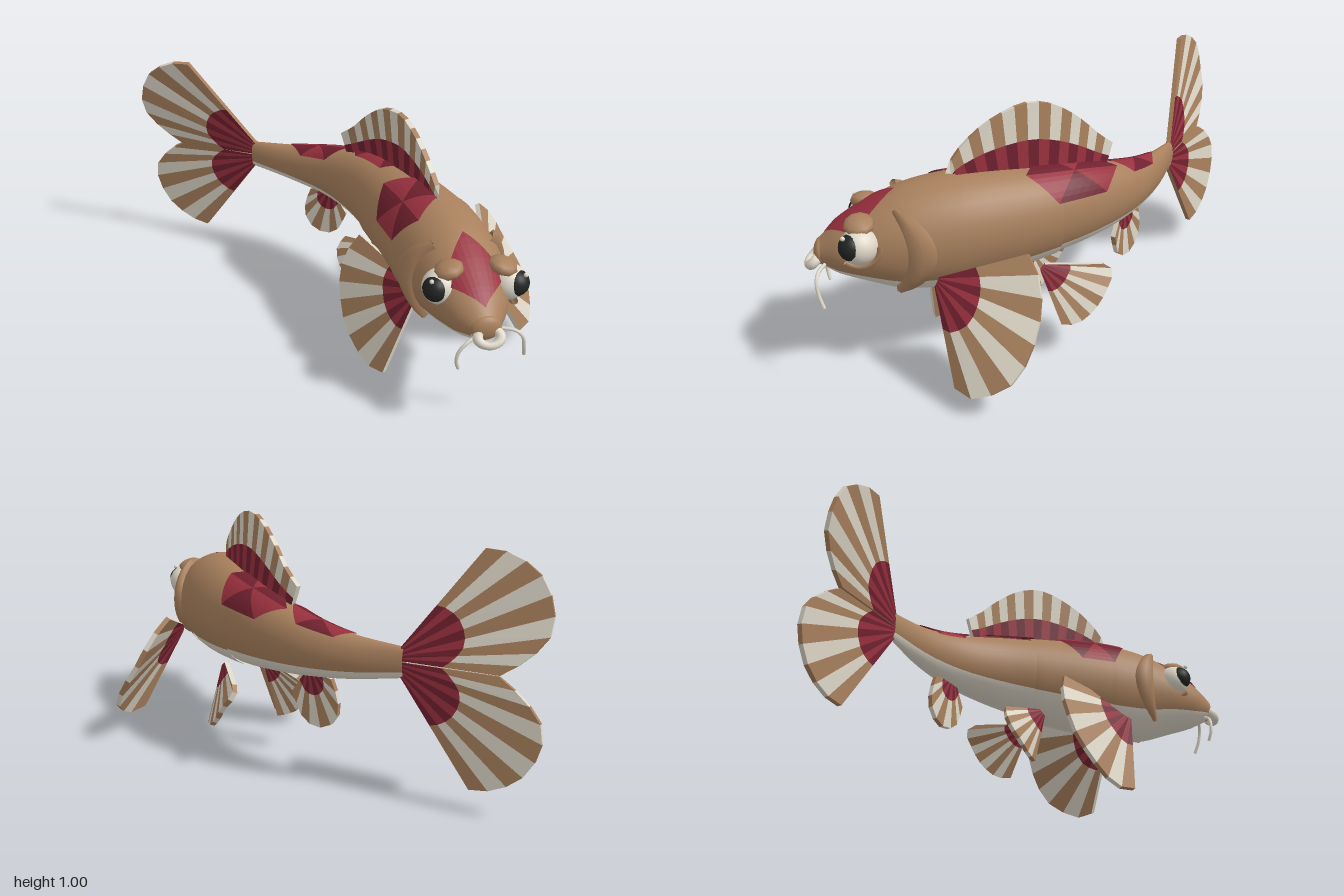
import * as THREE from 'three';

const V = (x, y, z) => new THREE.Vector3(x, y, z);
const mat = (name, color) => {
  const m = new THREE.MeshStandardMaterial({ color, side: THREE.DoubleSide });
  m.name = name;
  return m;
};

export function createModel() {
  const root = new THREE.Group();
  root.name = 'fish';
  const tan = mat('tan', 0xa8805d), white = mat('cream', 0xdfd8c9), red = mat('red', 0x98303e),
    darkRed = mat('darkRed', 0x6f202e), black = mat('black', 0x222323);

  const add = (name, geo, material, parent = root) => {
    const m = new THREE.Mesh(geo, material);
    m.name = name;
    parent.add(m);
    return m;
  };
  const group = (name) => {
    const g = new THREE.Group();
    g.name = name;
    root.add(g);
    return g;
  };

  // Body stations, tail to snout: x, z, half width, top, bottom
  const stations = [
    [-0.47, -0.43, 0.02, 0.6, 0.48], [-0.25, -0.425, 0.055, 0.625, 0.445],
    [-0.05, -0.39, 0.09, 0.67, 0.42], [0.15, -0.3, 0.13, 0.722, 0.39],
    [0.32, -0.175, 0.165, 0.748, 0.36], [0.47, -0.04, 0.185, 0.762, 0.335],
    [0.58, 0.07, 0.19, 0.758, 0.322], [0.68, 0.18, 0.18, 0.732, 0.332],
    [0.755, 0.28, 0.155, 0.675, 0.37], [0.82, 0.37, 0.11, 0.605, 0.405], [0.86, 0.425, 0.06, 0.545, 0.44],
  ];
  const spine = new THREE.CatmullRomCurve3(stations.map(([x, z, , t, b]) => V(x, (t + b) / 2, z)));
  const sizes = new THREE.CatmullRomCurve3(stations.map(([, , w, t, b], i) => V(w, (t - b) / 2, i * 0.1)));

  // Point on the skin: s = station, a = angle from the back towards the left side
  const skin = (s, a, off = 0, k = 1) => {
    const u = Math.min(1, Math.max(0, s / 10));
    const t = spine.getTangent(u).setY(0).normalize(), size = sizes.getPoint(u);
    const side = V(t.z, 0, -t.x).multiplyScalar(Math.sin(a) * (size.x + off) * k);
    const p = spine.getPoint(u).add(side);
    p.y += Math.cos(a) * (size.y + off) * k;
    return p;
  };

  const geometry = (points, index) => {
    const g = new THREE.BufferGeometry().setFromPoints(points);
    if (index) g.setIndex(index);
    g.computeVertexNormals();
    return g;
  };

  // Overlapping shells with a pale belly
  function shell(name, s0, s1, rows, scaleAt) {
    const N = 32, pts = [], parts = [[], []];
    for (let i = 0; i <= rows; i++) {
      const s = s0 + (s1 - s0) * i / rows;
      for (let j = 0; j < N; j++) pts.push(skin(s, j / N * Math.PI * 2, 0, scaleAt(i / rows)));
    }
    for (let i = 0; i < rows; i++) for (let j = 0; j < N; j++) {
      const a = i * N + j, b = i * N + (j + 1) % N;
      parts[j >= 11 && j < 21 ? 1 : 0].push(a, a + N, b, b, a + N, b + N);
    }
    const g = geometry(pts, parts.flat());
    g.addGroup(0, parts[0].length, 0);
    g.addGroup(parts[0].length, parts[1].length, 1);
    add(name, g, [tan, white]);
  }
  shell('tailBody', 0, 3.8, 14, (t) => 1 - 0.04 * t);
  shell('trunk', 3.65, 6.2, 12, () => 1);
  shell('head', 5.6, 10, 18, (t) => 1 + 0.025 * (1 - t));
  const snout = add('snout', new THREE.SphereGeometry(1, 20, 14), tan);
  snout.scale.set(0.06, 0.052, 0.03);
  snout.position.set(0.858, 0.4925, 0.422);
  snout.rotation.y = Math.PI / 6;

  // Red patches lying on the skin, cut into wedges
  function patch(name, s0, a0, ds, da, sides, mats, off = 0.006) {
    const g = group(name), n = 6;
    for (let k = 0; k < sides; k++) {
      const c = [k, k + 1].map((i) => {
        const q = i / sides * Math.PI * 2;
        return [ds * Math.cos(q), da * Math.sin(q)];
      });
      const at = (i, j) => skin(s0 + (c[0][0] * i + c[1][0] * j) / n, a0 + (c[0][1] * i + c[1][1] * j) / n, off);
      const pts = [];
      for (let i = 0; i < n; i++) for (let j = 0; i + j < n; j++) {
        pts.push(at(i, j), at(i + 1, j), at(i, j + 1));
        if (i + j < n - 1) pts.push(at(i + 1, j), at(i + 1, j + 1), at(i, j + 1));
      }
      add('patchWedge', geometry(pts), mats[k % mats.length], g);
    }
  }
  patch('shoulderPatch', 5.2, -0.62, 0.95, 0.75, 6, [red, darkRed], 0.011);
  patch('backPatch', 3.25, 0.35, 0.95, 0.85, 6, [red, darkRed]);
  patch('tailPatch', 1.6, -0.05, 0.75, 0.9, 6, [red, darkRed]);
  patch('headPatch', 8.45, 0, 1.3, 0.85, 4, [red], 0.009);

  // Crescent gill covers
  for (const d of [1, -1]) {
    const pts = [], index = [], n = 16, rim = [[0, -0.01], [0, 0.024], [0.5, 0.03], [1, 0.022], [1, -0.01]];
    for (let i = 0; i <= n; i++) {
      const u = i / n, w = Math.sin(Math.PI * u);
      const s0 = 7.06 - 0.72 * w, s1 = 7.25 - 0.3 * w;
      for (const [v, off] of rim) pts.push(skin(s0 + (s1 - s0) * v, d * (0.65 + 1.75 * u), off));
    }
    for (let i = 0; i < n; i++) for (let j = 0; j < 4; j++) {
      const a = i * 5 + j;
      index.push(...(d > 0 ? [a, a + 1, a + 5, a + 1, a + 6, a + 5] : [a, a + 5, a + 1, a + 1, a + 5, a + 6]));
    }
    add('gillCover', geometry(pts, index), tan);
  }

  // Striped fin: rays run from the base line to the outline, red near the base
  function fin(name, base, outline, rays, redPart, first = tan, edge = white, thick = 0.01) {
    const g = group(name), second = first === tan ? white : tan;
    const curve = (p) => new THREE.CatmullRomCurve3(p.map((q) => V(...q)));
    const lo = curve(base).getSpacedPoints(rays), hi = curve(outline).getSpacedPoints(rays);
    const mid = lo.map((p, i) => p.clone().lerp(hi[i], redPart));
    const nor = lo.map((p, i) => hi[Math.min(i + 1, rays)].clone().sub(hi[Math.max(i - 1, 0)])
      .cross(hi[i].clone().sub(p)).normalize().multiplyScalar(thick));
    const lists = new Map([tan, white, red, darkRed].map((m) => [m, []]));
    const quad = (m, a, b, c, d) => lists.get(m).push(a, b, c, a, c, d);
    const up = (p, i) => p[i].clone().add(nor[i]), dn = (p, i) => p[i].clone().sub(nor[i]);
    for (let i = 0; i < rays; i++) {
      const j = i + 1, stripe = i % 2 ? second : first, inner = i % 2 ? red : darkRed;
      for (const [m, p, q] of [[inner, lo, mid], [stripe, mid, hi]]) {
        quad(m, up(p, i), up(p, j), up(q, j), up(q, i));
        quad(m, dn(p, j), dn(p, i), dn(q, i), dn(q, j));
      }
      quad(stripe, up(hi, i), up(hi, j), dn(hi, j), dn(hi, i));
    }
    quad(edge, dn(lo, 0), up(lo, 0), up(hi, 0), dn(hi, 0));
    quad(edge, up(lo, rays), dn(lo, rays), dn(hi, rays), up(hi, rays));
    for (const [m, pts] of lists) add(m.name + 'FinRays', geometry(pts), m, g);
  }
  fin('upperTailFin', [[-0.46, 0.6, -0.43], [-0.46, 0.545, -0.43]],
    [[-0.74, 0.975, -0.345], [-0.83, 0.965, -0.34], [-0.95, 0.89, -0.345], [-1, 0.76, -0.355], [-0.99, 0.68, -0.375],
      [-0.91, 0.59, -0.4], [-0.83, 0.535, -0.415]], 9, 0.43, tan, tan);
  fin('lowerTailFin', [[-0.46, 0.54, -0.43], [-0.46, 0.485, -0.43]],
    [[-0.83, 0.535, -0.425], [-0.91, 0.48, -0.435], [-0.99, 0.39, -0.44], [-1, 0.3, -0.445], [-0.94, 0.18, -0.45],
      [-0.83, 0.11, -0.45], [-0.74, 0.095, -0.445]], 9, 0.43, tan, tan);
  fin('dorsalFin', [[0.56, 0.74, 0.05], [0.47, 0.75, -0.04], [0.32, 0.735, -0.175], [0.15, 0.705, -0.3], [0.03, 0.67, -0.35]],
    [[0.555, 0.77, 0.045], [0.54, 0.82, 0.04], [0.49, 0.89, 0], [0.43, 0.95, -0.055], [0.34, 1, -0.135], [0.28, 1, -0.175],
      [0.21, 0.97, -0.23], [0.13, 0.9, -0.285], [0.06, 0.82, -0.33], [-0.005, 0.765, -0.36]], 17, 0.46, white);
  fin('rightPectoralFin', [[0.53, 0.39, 0.18], [0.52, 0.425, 0.16]],
    [[0.42, 0.01, 0.23], [0.33, 0.005, 0.19], [0.27, 0.05, 0.155], [0.21, 0.12, 0.12], [0.175, 0.2, 0.08],
      [0.155, 0.3, 0.05], [0.165, 0.4, 0.02], [0.22, 0.5, 0]], 9, 0.42);
  fin('leftPectoralFin', [[0.76, 0.41, -0.02], [0.75, 0.445, -0.03]],
    [[0.88, 0.085, -0.17], [0.9, 0.08, -0.26], [0.88, 0.12, -0.34], [0.85, 0.17, -0.4], [0.79, 0.26, -0.43],
      [0.72, 0.36, -0.43], [0.66, 0.48, -0.4], [0.62, 0.56, -0.33]], 9, 0.42);
  fin('rightPelvicFin', [[0.28, 0.36, -0.13], [0.26, 0.38, -0.14]],
    [[0.21, 0.13, -0.14], [0.15, 0.15, -0.14], [0.1, 0.19, -0.15], [0.06, 0.24, -0.17], [0.05, 0.29, -0.19], [0.08, 0.34, -0.21]], 9, 0.38);
  fin('leftPelvicFin', [[0.4, 0.36, -0.26], [0.38, 0.38, -0.27]],
    [[0.41, 0.15, -0.36], [0.38, 0.15, -0.41], [0.32, 0.2, -0.46], [0.27, 0.27, -0.485], [0.22, 0.33, -0.485], [0.24, 0.36, -0.45]], 9, 0.38);
  fin('analFin', [[-0.05, 0.44, -0.39], [-0.1, 0.445, -0.4]],
    [[0.01, 0.35, -0.39], [-0.04, 0.245, -0.39], [-0.11, 0.22, -0.4], [-0.17, 0.245, -0.405], [-0.2, 0.3, -0.41],
      [-0.195, 0.36, -0.41], [-0.17, 0.43, -0.41]], 9, 0.42);

  // Face: local +z is the heading, local +x the left side
  const face = group('face');
  face.position.set(0.774, 0.577, 0.285);
  face.rotation.y = Math.PI / 6;
  for (const d of [1, -1]) {
    const eye = new THREE.Group();
    eye.name = d > 0 ? 'leftEye' : 'rightEye';
    eye.position.set(d * 0.13, 0, 0);
    face.add(eye);
    add('eyeball', new THREE.SphereGeometry(0.07, 24, 16), white, eye);
    const look = V(d * 0.6, 0.2, 0.65).normalize();
    const pupil = add('pupil', new THREE.SphereGeometry(0.052, 20, 14), black, eye);
    pupil.position.copy(look).multiplyScalar(0.031);
    const glint = add('glint', new THREE.SphereGeometry(0.009, 10, 8), white, eye);
    glint.position.copy(look).multiplyScalar(0.07).add(V(0, 0.04, 0));
    // heavy brow
    const brow = add('brow', new THREE.SphereGeometry(1, 10, 6), tan, eye);
    brow.scale.set(0.058, 0.032, 0.058);
    brow.position.set(d * -0.028, 0.072, 0);
    brow.rotation.z = d * -0.25;
    // lid wrapping the back and underside
    const lid = add('lowerLid', new THREE.TorusGeometry(0.076, 0.013, 8, 18, 2.4), tan, eye);
    lid.rotation.set(0, Math.PI / 2, -2.3, 'YXZ');
    lid.position.x = d * 0.015;
  }

  // Mouth and barbels
  const lips = add('lips', new THREE.TorusGeometry(0.043, 0.02, 10, 24), white);
  lips.position.set(0.88, 0.466, 0.44);
  lips.rotation.set(-0.8, Math.PI / 6, 0, 'YXZ');
  lips.scale.y = 0.75;
  const barbels = [
    [[0.91, 0.47, 0.37], [0.96, 0.465, 0.36], [0.985, 0.44, 0.352], [0.992, 0.39, 0.34], [0.992, 0.34, 0.32]],
    [[0.84, 0.455, 0.41], [0.8, 0.425, 0.46], [0.78, 0.39, 0.475], [0.775, 0.35, 0.475], [0.78, 0.31, 0.46]],
  ];
  for (const b of barbels) {
    add('barbel', new THREE.TubeGeometry(new THREE.CatmullRomCurve3(b.map((p) => V(...p))), 16, 0.007, 8), white);
  }
  return root;
}
